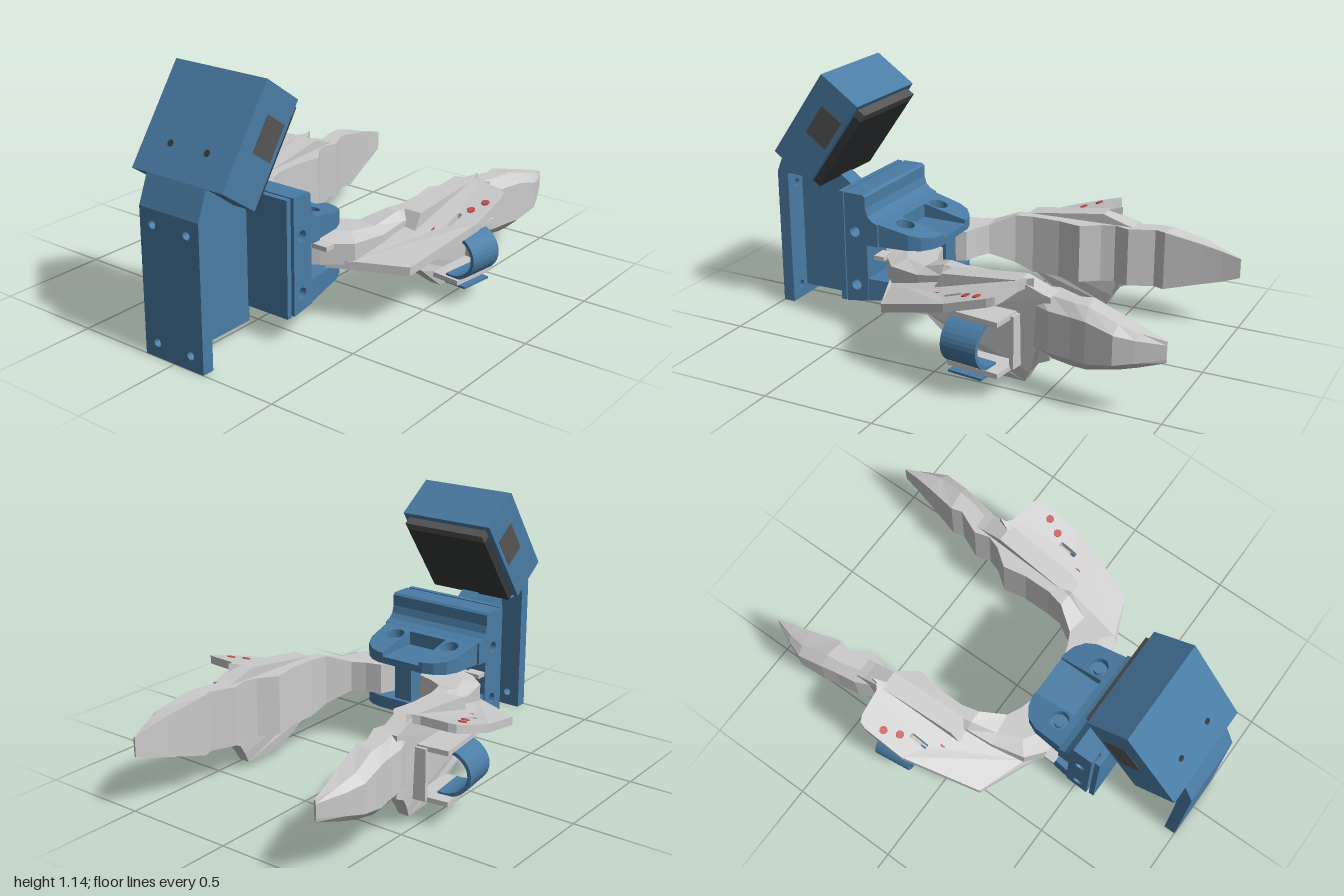
import * as THREE from 'three';

const mat = (color) => new THREE.MeshStandardMaterial({ color, flatShading: true, side: THREE.DoubleSide });
const blue = mat(0x4a7ca5), grey = mat(0xcccccc), dark = mat(0x353739), slate = mat(0x555555), red = mat(0xc05050);

function add(parent, name, geo, material, x = 0, y = 0, z = 0) {
  const m = new THREE.Mesh(geo, material);
  m.name = name;
  m.position.set(x, y, z);
  parent.add(m);
  return m;
}
// box given by its limits on each axis
function box(parent, name, material, x0, x1, y0, y1, z0, z1) {
  return add(parent, name, new THREE.BoxGeometry(x1 - x0, y1 - y0, z1 - z0), material,
    (x0 + x1) / 2, (y0 + y1) / 2, (z0 + z1) / 2);
}
function outline(points, holes = []) {
  const s = new THREE.Shape(points.map(([a, b]) => new THREE.Vector2(a, b)));
  s.holes = holes;
  return s;
}
// rounded slot (or circle when both half lengths are 0)
function slot(cx, cy, r, hx = 0, hy = 0) {
  const pts = [];
  for (let i = 0; i < 20; i++) {
    const a = (i + 0.5) / 20 * Math.PI * 2, c = Math.cos(a), s = Math.sin(a);
    pts.push(new THREE.Vector2(cx + Math.sign(c) * hx + r * c, cy + Math.sign(s) * hy + r * s));
  }
  return new THREE.Path(pts);
}
// side profile (x, y) extruded across z
function across(shape, z0, z1) {
  return new THREE.ExtrudeGeometry(shape, { depth: z1 - z0, bevelEnabled: false }).translate(0, 0, z0);
}
// plan outline (x, z) with bottom and top heights given as functions of x
function slab(shape, bottom, top) {
  const g = new THREE.ExtrudeGeometry(shape, { depth: 1, bevelEnabled: false }).rotateX(Math.PI / 2);
  const p = g.attributes.position;
  for (let i = 0; i < p.count; i++) p.setY(i, (p.getY(i) > -0.5 ? top : bottom)(p.getX(i)));
  g.computeVertexNormals();
  return g;
}
// closed solid through equal rings of points
function loft(rings) {
  const n = rings[0].length, idx = [], last = (rings.length - 1) * n;
  for (let i = 0; i < rings.length - 1; i++) for (let j = 0; j < n; j++) {
    const a = i * n + j, b = i * n + (j + 1) % n;
    idx.push(a, b, b + n, a, b + n, a + n);
  }
  for (let k = 1; k < n - 1; k++) idx.push(0, k + 1, k, last, last + k, last + k + 1);
  const g = new THREE.BufferGeometry();
  g.setAttribute('position', new THREE.Float32BufferAttribute(rings.flat(2), 3));
  g.setIndex(idx);
  const flat = g.toNonIndexed();
  flat.computeVertexNormals();
  return flat;
}

function makeMount() {
  const g = new THREE.Group();
  g.name = 'mount';
  // rear plate with four screw holes, outlined in (z, y)
  const holes = [[-0.09, 0.065], [0.09, 0.065], [-0.09, 0.57], [0.09, 0.57]].map(([a, b]) => slot(a, b, 0.018));
  const plate = across(outline([[-0.155, 0], [0.155, 0], [0.155, 0.635], [-0.155, 0.635]], holes), 0, 0.055);
  add(g, 'rearPlate', plate.rotateY(Math.PI / 2), blue, -1);
  box(g, 'spine', blue, -0.95, -0.605, 0.05, 0.55, -0.045, 0.045);
  add(g, 'spineTop', across(outline([[-0.95, 0.55], [-0.605, 0.55], [-0.605, 0.63], [-0.65, 0.57], [-0.75, 0.64], [-0.95, 0.64]]), -0.045, 0.045), blue);
  add(g, 'neck', across(outline([[-1, 0.635], [-0.78, 0.63], [-0.95, 0.76]]), -0.155, 0.155), blue);
  return g;
}

function makeDisplay() {
  const g = new THREE.Group();
  g.name = 'display';
  g.position.set(-0.73, 0.885, 0);
  g.rotation.z = Math.atan2(0.38, 0.265);
  box(g, 'displayCase', blue, -0.232, 0.232, -0.109, 0.109, -0.235, 0.235);
  box(g, 'screen', dark, -0.222, 0.17, -0.149, -0.105, -0.21, 0.21);
  box(g, 'screenStrip', slate, 0.17, 0.208, -0.149, -0.105, -0.21, 0.21);
  for (const s of [-1, 1]) {
    add(g, 'sidePort', new THREE.BoxGeometry(0.158, 0.118, 0.004), slate, 0.038, -0.028, s * 0.235);
    add(g, 'rearScrew', new THREE.CylinderGeometry(0.014, 0.014, 0.004, 16), dark, -0.1, 0.109, s * 0.095);
  }
  return g;
}

function makeYoke() {
  const g = new THREE.Group();
  g.name = 'yoke';
  box(g, 'yokeBackPlate', blue, -0.61, -0.585, 0.118, 0.63, -0.255, 0.255);
  box(g, 'yokeSpacer', blue, -0.59, -0.57, 0.14, 0.6, -0.2, 0.2);
  add(g, 'yokeBlock', across(outline([[-0.575, 0.12], [-0.465, 0.138], [-0.465, 0.4], [-0.41, 0.4], [-0.41, 0.502],
    [-0.44, 0.515], [-0.46, 0.535], [-0.47, 0.57], [-0.47, 0.62], [-0.48, 0.63], [-0.575, 0.63]],
  [slot(-0.525, 0.455, 0.025), slot(-0.525, 0.205, 0.025)]), -0.262, 0.262), blue);
  // right half of the arm plan, mirrored to close the outline
  const half = [[-0.47, 0.258], [-0.27, 0.238], [-0.22, 0.215], [-0.185, 0.17], [-0.17, 0.12]];
  const mirror = half.map(([x, z]) => [x, -z]).reverse();
  const recess = [[-0.17, 0.1], [-0.38, 0.1], [-0.38, -0.1], [-0.17, -0.1]];
  const bores = () => [slot(-0.335, 0.15, 0.042), slot(-0.335, -0.15, 0.042)];
  const slope = (x) => 0.45 - (x + 0.17) * 0.215;
  const under = (x) => 0.185 + (x + 0.17) * 0.16;
  add(g, 'upperArm', slab(outline([...half, ...mirror]), () => 0.4, () => 0.432), blue);
  add(g, 'upperArmRim', slab(outline([...half, ...recess, ...mirror], bores()), () => 0.43, slope), blue);
  add(g, 'lowerArm', slab(outline([...half, ...mirror]), () => 0.208, () => 0.24), blue);
  add(g, 'lowerArmRim', slab(outline([...half, ...mirror],
    [...bores(), slot(-0.24, 0, 0.02, 0, 0.11), slot(-0.42, 0, 0.02, 0, 0.11)]), under, () => 0.21), blue);
  box(g, 'yokeWeb', blue, -0.48, -0.19, 0.23, 0.41, -0.045, 0.045);
  for (const s of [-1, 1]) {
    add(g, 'pivotPin', new THREE.CylinderGeometry(0.022, 0.022, 0.28, 20), blue, -0.335, 0.32, s * 0.15);
  }
  return g;
}

function makeFinger(withTab) {
  const g = new THREE.Group();
  g.name = 'finger';
  // inner x, z; outer x, z; bottom and top height
  const rows = [
    [-0.27, 0.07, -0.46, 0.11, 0.25, 0.39], [-0.17, 0.11, -0.38, 0.24, 0.25, 0.39],
    [-0.15, 0.18, -0.29, 0.35, 0.25, 0.39], [-0.12, 0.24, -0.14, 0.385, 0.25, 0.39],
    [-0.02, 0.31, -0.02, 0.40, 0.2, 0.43], [0.06, 0.33, 0.06, 0.415, 0.16, 0.43],
    [0.19, 0.33, 0.19, 0.44, 0.16, 0.43], [0.30, 0.31, 0.30, 0.46, 0.16, 0.43],
    [0.38, 0.37, 0.38, 0.475, 0.16, 0.43], [0.44, 0.39, 0.44, 0.478, 0.16, 0.43],
    [0.51, 0.37, 0.52, 0.515, 0.16, 0.43], [0.62, 0.42, 0.62, 0.53, 0.16, 0.43],
    [0.67, 0.405, 0.69, 0.545, 0.16, 0.43], [0.83, 0.442, 0.81, 0.56, 0.2, 0.39],
    [0.92, 0.46, 0.89, 0.53, 0.222, 0.365], [1, 0.472, 1, 0.48, 0.25, 0.34]];
  add(g, 'fingerBody', loft(rows.map(([xi, zi, xo, zo, yb, yt]) => {
    const c = (yt - yb) * 0.17, xm = xi + (xo - xi) * 0.65, zm = zi + (zo - zi) * 0.65;
    return [[xi, yb, zi], [xi, yt, zi], [xm, yt, zm], [xo, yt - c, zo], [xo, yb + c, zo], [xm, yb, zm]];
  })), grey);
  // upright fin that narrows toward its foot
  const fin = across(outline([[-0.08, 0.25], [0.035, 0.16], [0.2, 0.03], [0.4, 0.03], [0.425, 0.08], [0.46, 0.13], [0.52, 0.16],
    [0.52, 0.43], [0.48, 0.44], [0.38, 0.475], [0.02, 0.43]]), -1, 1);
  const p = fin.attributes.position;
  for (let i = 0; i < p.count; i++) {
    const y = p.getY(i), w = 0.025 + Math.min(0.02, Math.max(0, y - 0.03) * 0.15);
    p.setZ(i, 0.415 + 0.06 * p.getX(i) + p.getZ(i) * w);
  }
  fin.computeVertexNormals();
  add(g, 'fin', fin, grey);
  // sloping finger rest with a slot and marker dots
  const top = (x) => Math.max(0.29, 0.475 + (x - 0.38) * 0.31);
  add(g, 'fingerRest', slab(outline([[-0.35, 0.24], [-0.29, 0.34], [0.35, 0.44], [0.44, 0.475], [0.41, 0.48], [0.39, 0.51],
    [0.375, 0.63], [0.36, 0.66], [0.33, 0.67], [0.14, 0.67], [-0.21, 0.57]], [slot(0.12, 0.565, 0.009, 0.035, 0.003)]),
  (x) => top(x) - 0.038, top), grey);
  for (const [x, z] of [[-0.09, 0.44], [-0.03, 0.475], [0.03, 0.505], [0.2, 0.595], [0.265, 0.625]]) {
    add(g, 'markerDot', new THREE.CylinderGeometry(0.018, 0.018, 0.008, 16), red, x, top(x), z).rotation.z = 0.3;
  }
  box(g, 'rootHook', grey, -0.41, -0.36, 0.355, 0.375, 0.22, 0.295);

  // strap and its bracket, turned to follow the finger
  const s = new THREE.Group();
  s.name = 'strapHolder';
  s.position.set(0.22, 0.22, 0.55);
  s.rotation.y = -0.12;
  g.add(s);
  box(s, 'bracketTop', grey, -0.1, 0.14, 0.1, 0.122, -0.11, 0.055);
  box(s, 'bracketBottom', grey, -0.1, 0.14, -0.122, -0.1, -0.11, 0.055);
  box(s, 'bracketPost', grey, 0.135, 0.155, -0.115, 0.115, -0.11, -0.04);
  const arc = (r, i) => {
    const a = (-1 + i / 10) * 1.75;
    return [Math.cos(a) * (r + 0.02), Math.sin(a) * r];
  };
  const ids = [...Array(21).keys()];
  const ring = outline([...ids.map((i) => arc(0.108, i)), ...ids.reverse().map((i) => arc(0.092, i))]);
  add(s, 'strap', across(ring, -0.085, 0.085).rotateY(-Math.PI / 2), blue);
  if (withTab) box(s, 'strapTab', blue, -0.08, 0.08, -0.137, -0.127, -0.03, 0.08);
  return g;
}

export function createModel() {
  const model = new THREE.Group();
  model.name = 'gripper';
  const left = makeFinger(true), right = makeFinger(false);
  left.name = 'frontFinger';
  right.name = 'rearFinger';
  right.scale.z = -1;
  model.add(makeMount(), makeDisplay(), makeYoke(), left, right);
  return model;
}
